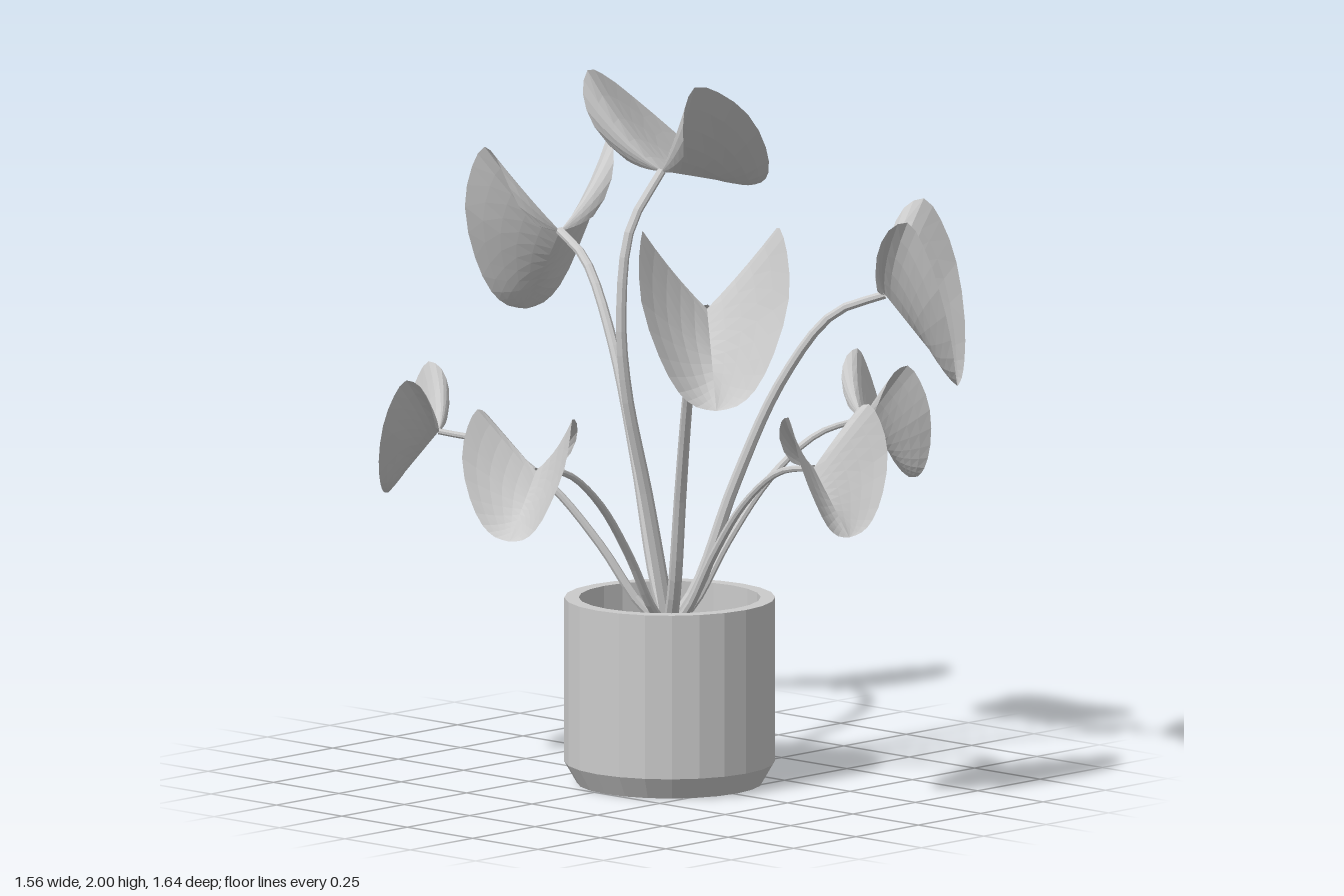
import * as THREE from 'three';
import { ParametricGeometry } from 'three/addons/geometries/ParametricGeometry.js';

const V = (x, y, z) => new THREE.Vector3(x, y, z);
const CENTER = V(0.01, 0.43, 0.04); // where all stems leave the soil

const solid = new THREE.MeshStandardMaterial({ color: 0xcccccc, flatShading: true });
const thin = new THREE.MeshStandardMaterial({ color: 0xcccccc, flatShading: true, side: THREE.DoubleSide });

// Half outline of a folded heart-shaped leaf: blunt tip, side, raised lobe, notch
// (x sideways, y up, z outward; the stem joins at the origin)
const TIP = V(0, -0.177, 0.143);
const outline = new THREE.CatmullRomCurve3([
  TIP,
  V(0.045, -0.168, 0.146),
  V(0.085, -0.138, 0.147),
  V(0.128, -0.067, 0.143),
  V(0.165, 0.040, 0.123),
  V(0.165, 0.125, 0.092),
  V(0.153, 0.168, 0.060),
  V(0.145, 0.150, 0.022),
  V(0.127, 0.095, -0.003),
  V(0.078, 0.024, -0.008),
  V(0, 0, 0),
]);
const UNDERSIDE = V(0, -0.6, -0.8); // direction in which the blade sags

// Blade stretched between the midrib and the outline, rounded into a trough
function leafGeometry() {
  return new ParametricGeometry((u, v, target) => {
    const side = v * 2 - 1, a = Math.abs(side);
    const edge = outline.getPoint(u);
    const rib = TIP.clone().multiplyScalar(Math.max(0, 1 - u / 0.65));
    target.lerpVectors(rib, edge, a);
    target.addScaledVector(UNDERSIDE, 0.06 * a * (1 - a) * Math.sin(Math.PI * u));
    if (side < 0) target.x *= -1;
  }, 20, 10);
}

// Tube that narrows from r0 at the base to r1 at the leaf
function stemGeometry(points, r0, r1) {
  const curve = new THREE.CatmullRomCurve3(points);
  const rings = 20, sides = 8;
  const geo = new THREE.TubeGeometry(curve, rings, 1, sides);
  const pos = geo.attributes.position;
  const p = new THREE.Vector3();
  for (let i = 0; i < pos.count; i++) {
    const t = Math.floor(i / (sides + 1)) / rings;
    const c = curve.getPointAt(t);
    p.fromBufferAttribute(pos, i).sub(c).multiplyScalar(r0 + (r1 - r0) * t).add(c);
    pos.setXYZ(i, p.x, p.y, p.z);
  }
  geo.computeVertexNormals();
  return geo;
}

// Arching stem: fraction of reach, fraction of rise
const ARCH = [[0, 0], [0.13, 0.13], [0.3, 0.43], [0.52, 0.74], [0.76, 0.94], [1, 1]];

function archPath(end) {
  return ARCH.map(([r, h]) => V(
    CENTER.x + (end.x - CENTER.x) * r,
    CENTER.y + (end.y - CENTER.y) * h,
    CENTER.z + (end.z - CENTER.z) * r,
  ));
}

export function createModel() {
  const model = new THREE.Group();
  model.name = 'pottedPlant';

  const add = (name, geometry, material, parent = model) => {
    const mesh = new THREE.Mesh(geometry, material);
    mesh.name = name;
    parent.add(mesh);
    return mesh;
  };

  // Pot: open sleeve with a chamfered foot
  const profile = [[0.257, 0], [0.292, 0.06], [0.292, 0.52], [0.252, 0.52], [0.252, 0]]
    .map(([r, y]) => new THREE.Vector2(r, y));
  add('pot', new THREE.LatheGeometry(profile, 24), thin).position.set(CENTER.x, 0, CENTER.z);

  // Soil plug
  add('soil', new THREE.CylinderGeometry(0.252, 0.252, 0.17, 24), solid)
    .position.set(CENTER.x, 0.345, CENTER.z);

  // Stem end, outward direction (x, z), leaf size and width factor
  const BIG = { size: 1.42, narrow: 0.88 }, SMALL = { size: 1, narrow: 1 };
  const shoots = [
    { name: 'backRight', end: V(0.22, 1.445, -0.58), dir: [0.33, -0.94], ...BIG },
    { name: 'frontLeft', end: V(-0.37, 1.443, 0.545), dir: [-0.63, 0.78], ...BIG },
    { name: 'frontRight', end: V(0.37, 1.383, 0.52), dir: [0.6, 0.8], ...BIG },
    { name: 'backLeft', end: V(-0.355, 0.967, -0.495), dir: [-0.53, -0.85], ...SMALL },
    { name: 'left', end: V(-0.615, 0.967, 0.125), dir: [-0.97, 0.22], ...SMALL },
    { name: 'front', end: V(-0.05, 0.967, 0.648), dir: [-0.05, 1], ...SMALL },
    { name: 'right', end: V(0.602, 0.967, 0.215), dir: [0.94, 0.33], ...SMALL },
    // Tallest shoot bows to one side and holds its leaf flatter
    {
      name: 'top', end: V(-0.045, 1.728, 0.062), dir: [1, -0.03], size: 1.59, narrow: 0.82, lift: 0.65,
      path: [CENTER, V(-0.085, 0.81, 0.045), V(-0.175, 1.13, 0.05), V(-0.2, 1.34, 0.055),
        V(-0.17, 1.58, 0.06), V(-0.045, 1.728, 0.062)],
    },
  ];

  const blade = leafGeometry();
  for (const { name, end, dir, size, narrow, lift = 0, path } of shoots) {
    const shoot = new THREE.Group();
    shoot.name = name + 'Shoot';
    model.add(shoot);

    const thick = size > 1 ? 0.02 : 0.014;
    add(name + 'Stem', stemGeometry(path || archPath(end), thick, thick * 0.6), thin, shoot);

    const leaf = add(name + 'Leaf', blade, thin, shoot);
    leaf.position.copy(end);
    leaf.rotation.set(-lift, Math.atan2(dir[0], dir[1]), 0, 'YXZ');
    leaf.scale.set(size * narrow, size, size);
  }
  return model;
}
